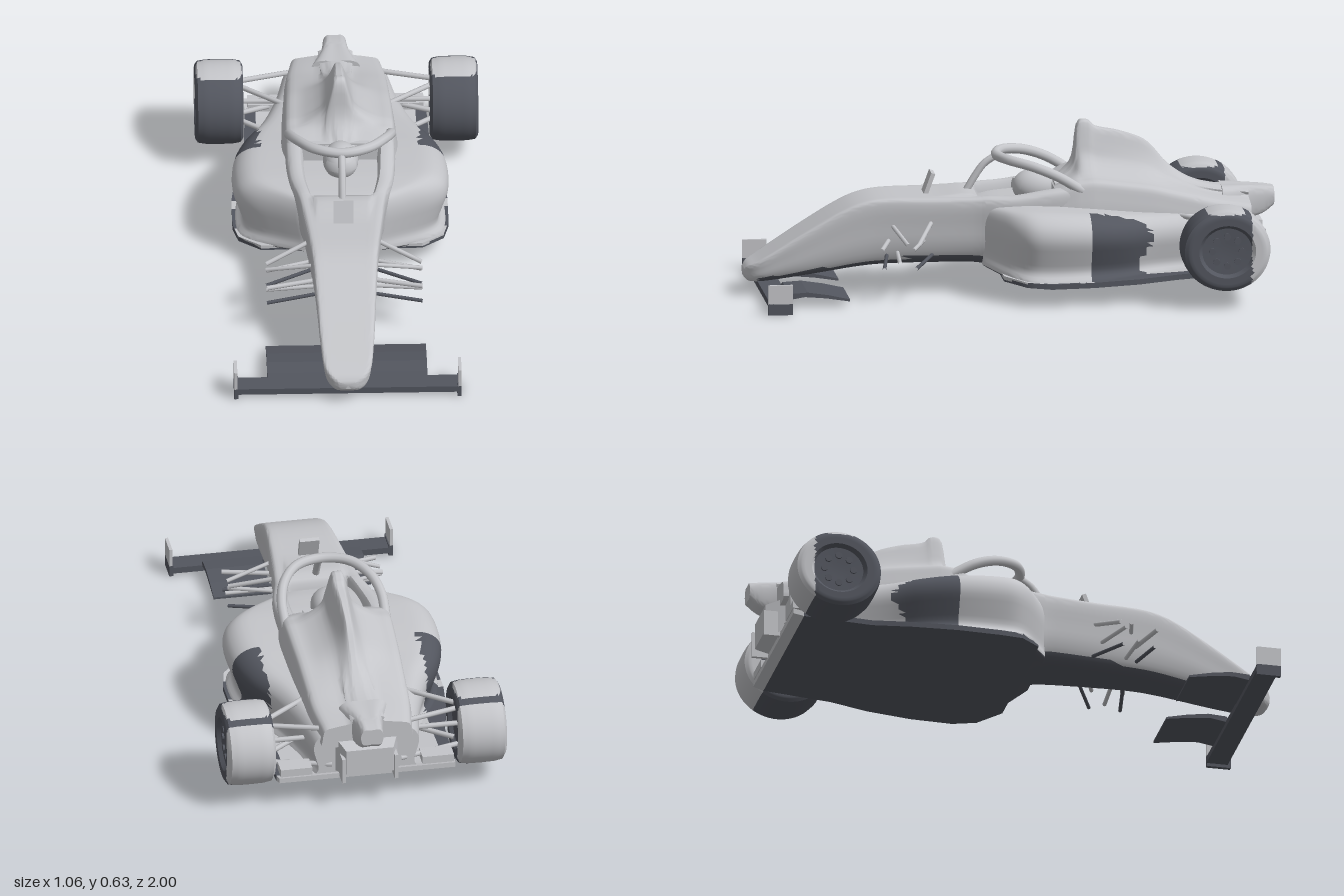
import * as THREE from 'three';
import { toCreasedNormals } from 'three/addons/utils/BufferGeometryUtils.js';

const V = (x, y, z) => new THREE.Vector3(x, y, z);
const light = new THREE.MeshStandardMaterial({ color: 0xc4c5c9 });
light.name = 'bodyGrey';
const dark = new THREE.MeshStandardMaterial({ color: 0x53565f });
dark.name = 'carbonGrey';

// Smooth or straight resampling of a row of points
function resample(points, n, smooth) {
  if (smooth) return new THREE.CatmullRomCurve3(points).getPoints(n);
  const out = [];
  for (let i = 0; i < points.length - 1; i++)
    for (let k = 0; k < 3; k++) out.push(points[i].clone().lerp(points[i + 1], k / 3));
  out.push(points.at(-1));
  return out;
}

// Symmetrical skin over half sections (bottom centre to top centre), front to back
function loft(sections, smooth = true, crease = 0.7) {
  const halves = sections.map((s) => resample(s, s.length * 3, smooth));
  const rows = halves[0].map((_, j) => resample(halves.map((h) => h[j]), sections.length * 4, smooth));
  const rings = rows[0].map((_, i) => {
    const half = rows.map((r) => r[i]);
    return [...half, ...half.slice(1, -1).reverse().map((p) => V(-p.x, p.y, p.z))];
  });
  const n = rings[0].length, pos = [], idx = [];
  rings.forEach((r) => r.forEach((p) => pos.push(p.x, p.y, p.z)));
  for (let i = 0; i < rings.length - 1; i++)
    for (let j = 0; j < n; j++) {
      const a = i * n + j, b = i * n + (j + 1) % n;
      idx.push(a, a + n, b, b, a + n, b + n);
    }
  for (const end of [0, rings.length - 1]) {
    const c = rings[end].reduce((s, p) => s.add(p), V(0, 0, 0)).divideScalar(n);
    const ci = pos.length / 3;
    pos.push(c.x, c.y, c.z);
    for (let j = 0; j < n; j++) {
      const a = end * n + j, b = end * n + (j + 1) % n;
      idx.push(ci, end ? b : a, end ? a : b);
    }
  }
  const g = new THREE.BufferGeometry();
  g.setAttribute('position', new THREE.Float32BufferAttribute(pos, 3));
  g.setIndex(idx);
  return toCreasedNormals(g, crease);
}

// Sort faces into two material groups by a rule on face centre and direction
function paint(source, isDark) {
  const g = source.index ? source.toNonIndexed() : source;
  const p = g.attributes.position, nm = g.attributes.normal;
  const sets = [{ p: [], n: [] }, { p: [], n: [] }], tri = new THREE.Triangle();
  for (let i = 0; i < p.count; i += 3) {
    tri.setFromAttributeAndIndices(p, i, i + 1, i + 2);
    const set = sets[isDark(tri.getMidpoint(V()), tri.getNormal(V())) ? 1 : 0];
    for (let k = i; k < i + 3; k++) {
      set.p.push(p.getX(k), p.getY(k), p.getZ(k));
      set.n.push(nm.getX(k), nm.getY(k), nm.getZ(k));
    }
  }
  const out = new THREE.BufferGeometry();
  out.setAttribute('position', new THREE.Float32BufferAttribute([...sets[0].p, ...sets[1].p], 3));
  out.setAttribute('normal', new THREE.Float32BufferAttribute([...sets[0].n, ...sets[1].n], 3));
  out.addGroup(0, sets[0].p.length / 3, 0);
  out.addGroup(sets[0].p.length / 3, sets[1].p.length / 3, 1);
  return out;
}

export function createModel() {
  const car = new THREE.Group();
  car.name = 'raceCar';
  const add = (name, geo, mat) => {
    const m = new THREE.Mesh(geo, mat);
    m.name = name;
    car.add(m);
    return m;
  };
  const box = (name, size, at, mat) => {
    const m = add(name, new THREE.BoxGeometry(...size), mat);
    m.position.set(...at);
    return m;
  };
  const rod = (name, a, b, r, mat = light) =>
    add(name, new THREE.TubeGeometry(new THREE.LineCurve3(V(...a), V(...b)), 1, r, 8), mat);
  const two = [light, dark];
  const bodyPaint = (c, n) => c.z > -0.86 && c.z < 0.95 &&
    ((n.y < -0.5 && c.y < 0.2) || (c.y < 0.092 && c.z < 0.2) || (Math.abs(c.x) > 0.3 && c.z < -0.28));

  // Nose and cockpit tub: z, half width, bottom, top, cockpit depth
  const tub = [[1, 0.035, 0.07, 0.1, 0], [0.985, 0.062, 0.055, 0.117, 0], [0.95, 0.085, 0.052, 0.137, 0],
    [0.85, 0.1, 0.062, 0.2, 0], [0.75, 0.108, 0.075, 0.262, 0], [0.65, 0.115, 0.09, 0.32, 0],
    [0.58, 0.12, 0.1, 0.352, 0], [0.5, 0.126, 0.108, 0.37, 0], [0.3, 0.145, 0.112, 0.372, 0],
    [0.13, 0.165, 0.11, 0.375, 0], [0.1, 0.172, 0.105, 0.376, 0.25], [0, 0.195, 0.1, 0.378, 0.3],
    [-0.14, 0.205, 0.095, 0.4, 0.3], [-0.22, 0.205, 0.09, 0.41, 0]];
  add('noseAndTub', paint(loft(tub.map(([z, w, b, t, d]) =>
    [[0, 0], [0.4, 0.01], [0.72, 0.08], [0.9, 0.3], [0.96, 0.6], [1, 0.9], [0.95, 0.985], [0.72, 1],
      [0.62, 1 - d], [0, 1 - d]].map(([u, v]) => V(u * w, b + v * (t - b), z)))), bodyPaint), two);

  // Sidepods with undercut, narrowing to the rear: z, half width, bottom, top
  const pods = [[0.11, 0.155, 0.115, 0.335], [0.06, 0.245, 0.1, 0.343], [0, 0.345, 0.085, 0.347],
    [-0.05, 0.39, 0.076, 0.349], [-0.12, 0.405, 0.073, 0.347], [-0.28, 0.397, 0.077, 0.337],
    [-0.4, 0.36, 0.08, 0.325], [-0.52, 0.295, 0.085, 0.315], [-0.7, 0.235, 0.09, 0.305], [-0.88, 0.2, 0.11, 0.29]];
  add('sidepods', paint(loft(pods.map(([z, w, b, t]) =>
    [[0, 0], [0.6, 0], [0.97, 0.01], [0.97, 0.06], [0.91, 0.18], [0.95, 0.4], [1, 0.65], [0.97, 0.83],
      [0.85, 0.97], [0.6, 1], [0, 1]].map(([u, v]) => V(u * w, b + v * (t - b), z)))), bodyPaint), two);

  // Engine cover with airbox: z, half width, shoulder height, top height, top half width
  const cover = [[-0.16, 0.2, 0.4, 0.41, 0.02], [-0.235, 0.207, 0.437, 0.48, 0.03], [-0.265, 0.208, 0.442, 0.63, 0.02],
    [-0.3, 0.208, 0.445, 0.632, 0.02], [-0.325, 0.207, 0.443, 0.61, 0.019], [-0.42, 0.204, 0.43, 0.588, 0.015],
    [-0.52, 0.2, 0.415, 0.548, 0.013], [-0.6, 0.197, 0.395, 0.46, 0.018], [-0.68, 0.194, 0.375, 0.405, 0.03],
    [-0.76, 0.19, 0.355, 0.38, 0.04], [-0.9, 0.17, 0.33, 0.37, 0.045]];
  add('engineCover', loft(cover.map(([z, w, s, t, wt]) => [V(0, 0.25, z), V(w, 0.25, z), V(w, s - 0.05, z),
    V(w * 0.94, s - 0.012, z), V(w * 0.68, s, z), V(0.06, s + (t - s) * 0.3, z), V(wt + 0.02, s + (t - s) * 0.6, z),
    V(wt, t - 0.006, z), V(wt * 0.6, t, z), V(0, t, z)])), light);

  // Floor: z, half width, bottom height
  const floor = [[0.05, 0.302, 0.085], [-0.03, 0.385, 0.075], [-0.12, 0.405, 0.07], [-0.28, 0.405, 0.073],
    [-0.45, 0.385, 0.078], [-0.6, 0.35, 0.085], [-0.86, 0.34, 0.1], [-0.9, 0.335, 0.11]];
  add('floor', paint(loft(floor.map(([z, w, b]) => [V(0, b, z), V(0.3, b, z), V(w, b, z), V(w, b + 0.02, z),
    V(0.3, b + 0.02, z), V(0, b + 0.02, z)]), false), bodyPaint), two);

  // Tail: crash structure, gearbox and diffuser
  add('crashStructure', loft([[-0.8, 0.09, 0.22, 0.375], [-0.9, 0.055, 0.25, 0.372], [-0.96, 0.045, 0.27, 0.368],
    [-1, 0.042, 0.3, 0.362]].map(([z, w, b, t]) => [V(0, b, z), V(w * 0.8, b, z), V(w, b + 0.02, z),
    V(w, t - 0.02, z), V(w * 0.7, t, z), V(0, t, z)])), light);
  add('gearbox', loft([[-0.8, 0.15, 0.11, 0.3], [-0.95, 0.09, 0.15, 0.25]].map(([z, w, b, t]) =>
    [V(0, b, z), V(w, b, z), V(w, t, z), V(0, t, z)]), false), light);

  // Halo hoop and centre pillar
  const hoop = new THREE.CatmullRomCurve3([V(-0.19, 0.4, -0.26), V(-0.19, 0.455, -0.17), V(-0.165, 0.49, -0.08),
    V(-0.1, 0.507, 0.01), V(0, 0.508, 0.045), V(0.1, 0.507, 0.01), V(0.165, 0.49, -0.08),
    V(0.19, 0.455, -0.17), V(0.19, 0.4, -0.26)]);
  add('halo', new THREE.TubeGeometry(hoop, 48, 0.019, 10), light);
  add('haloPillar', new THREE.TubeGeometry(new THREE.CatmullRomCurve3([V(0, 0.508, 0.04), V(0, 0.475, 0.09),
    V(0, 0.42, 0.13), V(0, 0.36, 0.165)]), 12, 0.014, 8), light);

  // Driver and sensor panel
  const helmet = add('helmet', new THREE.SphereGeometry(0.07, 28, 18), light);
  helmet.position.set(0, 0.385, -0.1);
  helmet.scale.set(0.95, 0.95, 1.2);
  add('visor', new THREE.SphereGeometry(0.073, 20, 8, Math.PI * 0.2, Math.PI * 0.6, 1.1, 0.5), light)
    .position.set(0, 0.385, -0.085);
  box('headrest', [0.22, 0.07, 0.05], [0, 0.38, -0.19], light);
  box('sensorPanel', [0.075, 0.085, 0.016], [0, 0.408, 0.3], light).rotation.x = -0.35;

  // Front wing
  box('frontWingPlane', [0.84, 0.024, 0.082], [0, 0.026, 0.9], dark);
  const flap = new THREE.Shape([[0.88, 0.03], [0.86, 0.056], [0.79, 0.06], [0.71, 0.048], [0.63, 0.03],
    [0.63, 0.022], [0.72, 0.036], [0.8, 0.043]].map(([z, y]) => new THREE.Vector2(z, y)));

  const wheelProfile = [[0, -0.075], [0.09, -0.075], [0.1, -0.09], [0.135, -0.09], [0.15, -0.08], [0.155, -0.05],
    [0.156, 0], [0.155, 0.05], [0.15, 0.08], [0.135, 0.09], [0.1, 0.09], [0.088, 0.075], [0, 0.07]];
  const profilePoints = [];
  wheelProfile.forEach(([r, x], i) => {
    const next = wheelProfile[i + 1];
    for (let k = 0; next && k < 3; k++)
      profilePoints.push(new THREE.Vector2(r + (next[0] - r) * k / 3, x + (next[1] - x) * k / 3));
  });
  profilePoints.push(new THREE.Vector2(0, 0.07));

  for (const s of [1, -1]) {
    const side = s > 0 ? 'left' : 'right';
    const flapGeo = new THREE.ExtrudeGeometry(flap, { depth: 0.22, bevelEnabled: false });
    flapGeo.rotateY(-Math.PI / 2);
    add(side + 'FrontFlap', flapGeo, dark).position.x = s > 0 ? 0.3 : -0.08;
    box(side + 'EndplateTop', [0.012, 0.072, 0.092], [s * 0.42, 0.08, 0.907], light);
    box(side + 'EndplateFoot', [0.016, 0.044, 0.092], [s * 0.418, 0.024, 0.907], dark);

    // Front suspension arms: inner end, outer end, radius
    [[[0.12, 0.285, 0.3], [0.292, 0.228, 0.37], 0.009], [[0.11, 0.27, 0.45], [0.292, 0.228, 0.41], 0.008],
      [[0.1, 0.212, 0.46], [0.292, 0.21, 0.51], 0.009], [[0.12, 0.212, 0.33], [0.292, 0.21, 0.39], 0.008],
      [[0.11, 0.165, 0.43], [0.292, 0.158, 0.44], 0.008]]
      .forEach(([a, b, r]) => rod(side + 'FrontArm', [s * a[0], a[1], a[2]], [s * b[0], b[1], b[2]], r));
    [[[0.11, 0.155, 0.47], [0.292, 0.138, 0.5]], [[0.12, 0.155, 0.3], [0.292, 0.138, 0.38]]]
      .forEach(([a, b]) => rod(side + 'FrontLowerArm', [s * a[0], a[1], a[2]], [s * b[0], b[1], b[2]], 0.007, dark));

    // Rear suspension arms and drive shaft
    [[[0.17, 0.3, -0.6], [0.36, 0.3, -0.75]], [[0.15, 0.3, -0.85], [0.36, 0.3, -0.79]],
      [[0.17, 0.15, -0.6], [0.36, 0.15, -0.75]], [[0.13, 0.16, -0.88], [0.36, 0.15, -0.8]],
      [[0.1, 0.222, -0.77], [0.37, 0.222, -0.77]]]
      .forEach(([a, b]) => rod(side + 'RearArm', [s * a[0], a[1], a[2]], [s * b[0], b[1], b[2]], 0.01));
    box(side + 'DiffuserFin', [0.014, 0.1, 0.12], [s * 0.1, 0.17, -0.9], light);
    box(side + 'RearWinglet', [0.12, 0.03, 0.07], [s * 0.27, 0.15, -0.865], light);

    // Rear wheel with a lighter crown and trailing part
    const w = new THREE.LatheGeometry(profilePoints, 72);
    w.rotateZ(-s * Math.PI / 2).scale(1, 1, 1.07).translate(s * 0.44, 0.224, -0.767);
    add(side + 'RearWheel', paint(toCreasedNormals(w, 0.6), (c) => c.y < 0.364 && c.z > -0.86), two);
    for (let i = 0; i < 8; i++) {
      const a = i * Math.PI / 4;
      const stud = add(side + 'WheelStud', new THREE.CylinderGeometry(0.013, 0.013, 0.012, 12), dark);
      stud.rotation.z = Math.PI / 2;
      stud.position.set(s * 0.514, 0.224 + 0.056 * Math.cos(a), -0.767 + 0.056 * Math.sin(a));
    }
  }
  return car;
}
